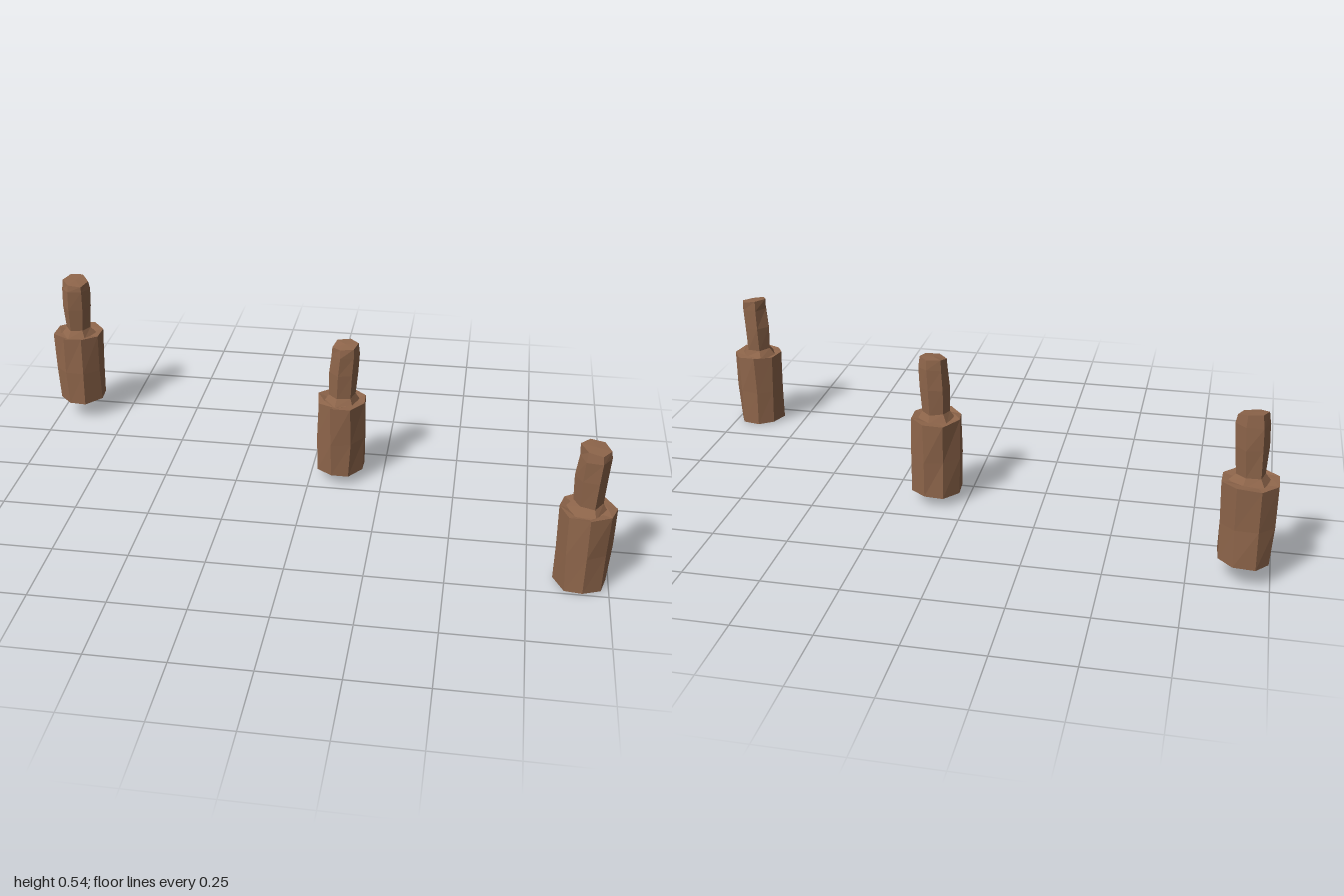
import * as THREE from 'three';

const wood = new THREE.MeshStandardMaterial({ color: 0x8f664b, flatShading: true, roughness: 0.9 });

// Repeatable roughness in the range -1..1
function seeded(seed) {
  let s = seed;
  return () => {
    s = (s * 16807) % 2147483647;
    return (s / 2147483647) * 2 - 1;
  };
}

// Faceted column skinned over rings [radius, y, offsetX, offsetZ, slopeX, slopeZ], capped at both ends
function hewn(rings, sides, turn, rough, seed, capLow, capHigh) {
  const rand = seeded(seed), pos = [], index = [];
  for (const [r, y, ox = 0, oz = 0, sx = 0, sz = 0] of rings) {
    for (let i = 0; i < sides; i++) {
      const a = turn + (i / sides) * Math.PI * 2 + rand() * rough * 12;
      const rr = r + rand() * rough;
      const x = Math.sin(a) * rr, z = Math.cos(a) * rr;
      pos.push(x + ox, y + x * sx + z * sz + rand() * rough, z + oz);
    }
  }
  for (let k = 0; k < rings.length - 1; k++) {
    for (let i = 0; i < sides; i++) {
      const a = k * sides + i, b = k * sides + (i + 1) % sides;
      index.push(a, b, b + sides, a, b + sides, a + sides);
    }
  }
  const low = rings.length * sides, top = (rings.length - 1) * sides;
  const last = rings[rings.length - 1];
  pos.push(0, capLow, 0, last[2] || 0, capHigh, last[3] || 0);
  for (let i = 0; i < sides; i++) {
    const j = (i + 1) % sides;
    index.push(low, j, i, low + 1, top + i, top + j);
  }
  const g = new THREE.BufferGeometry();
  g.setAttribute('position', new THREE.Float32BufferAttribute(pos, 3));
  g.setIndex(index);
  g.computeVertexNormals();
  return g;
}

function part(name, geometry) {
  const m = new THREE.Mesh(geometry, wood);
  m.name = name;
  return m;
}

function makePost({ name, at, turn, seed, lean, slope }) {
  const post = new THREE.Group();
  post.name = name;
  post.position.set(...at);

  // Thick octagonal lower block with a slightly raised rim
  post.add(part('lowerBlock', hewn([
    [0.084, 0.004],
    [0.086, 0.13],
    [0.087, 0.266],
    [0.06, 0.262],
  ], 8, turn, 0.004, seed, 0.014, 0.262)));

  // Narrow six-sided peg, flared at the foot and cut off at a slant
  const [lx, lz] = lean, [sx, sz] = slope;
  post.add(part('peg', hewn([
    [0.064, 0.258],
    [0.044, 0.284],
    [0.049, 0.37, lx * 0.5, lz * 0.5],
    [0.048, 0.44, lx, lz],
    [0.045, 0.471, lx, lz, sx, sz],
  ], 6, turn + 0.3, 0.003, seed + 77, 0.25, 0.473)));
  return post;
}

export function createModel() {
  const model = new THREE.Group();
  model.name = 'woodenPosts';
  const posts = [
    { name: 'rightPost', at: [-0.918, 0.068, -0.423], turn: Math.PI / 8, seed: 1201, lean: [0.008, 0.008], slope: [-0.06, -0.15] },
    { name: 'middlePost', at: [0.104, 0.036, -0.099], turn: Math.PI / 8 + 0.08, seed: 3407, lean: [0.01, 0.004], slope: [0.06, -0.1] },
    { name: 'leftPost', at: [0.913, 0.003, 0.419], turn: 0.12, seed: 5303, lean: [0.007, 0], slope: [-0.13, -0.05] },
  ];
  for (const p of posts) model.add(makePost(p));
  return model;
}
